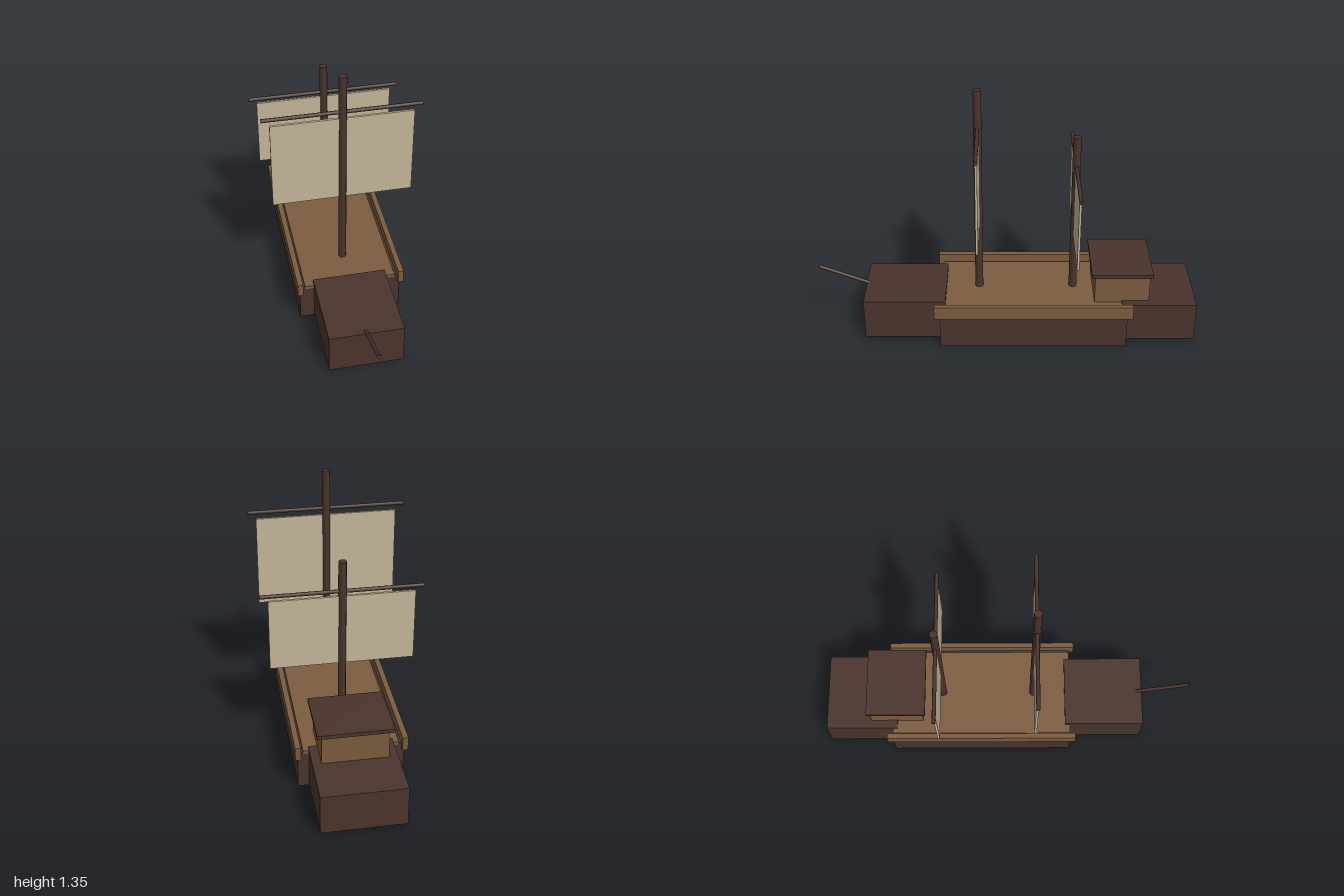
import * as THREE from 'three';

const darkWood = new THREE.MeshStandardMaterial({ name: 'darkWood', color: 0x4a342c });
const plankWood = new THREE.MeshStandardMaterial({ name: 'plankWood', color: 0x7c5c3f });
const canvas = new THREE.MeshStandardMaterial({ name: 'canvas', color: 0xc4b598 });

// Box given by its [min, max] range on each axis
function box(parent, name, material, [x0, x1], [y0, y1], [z0, z1]) {
  const mesh = new THREE.Mesh(new THREE.BoxGeometry(x1 - x0, y1 - y0, z1 - z0), material);
  mesh.name = name;
  mesh.position.set((x0 + x1) / 2, (y0 + y1) / 2, (z0 + z1) / 2);
  parent.add(mesh);
  return mesh;
}

// Round pole running between two points
function pole(parent, name, radius, from, to) {
  const a = new THREE.Vector3(...from), b = new THREE.Vector3(...to);
  const dir = b.clone().sub(a);
  const mesh = new THREE.Mesh(new THREE.CylinderGeometry(radius, radius, dir.length(), 8), darkWood);
  mesh.name = name;
  mesh.position.copy(a).add(b).multiplyScalar(0.5);
  mesh.quaternion.setFromUnitVectors(new THREE.Vector3(0, 1, 0), dir.normalize());
  parent.add(mesh);
  return mesh;
}

// Mast with its yard and square sail
function rig(name, z, mastTop, yardY, sailBottom, sailTop) {
  const group = new THREE.Group();
  group.name = name;
  pole(group, 'mast', 0.021, [0, 0.2, z], [0, mastTop, z]);
  pole(group, 'yard', 0.01, [-0.4, yardY, z], [0.4, yardY, z]);
  box(group, 'sail', canvas, [-0.36, 0.36], [sailBottom, sailTop], [z - 0.006, z + 0.006]);
  return group;
}

export function createModel() {
  const ship = new THREE.Group();
  ship.name = 'sailingShip';

  // Hull blocks and deck
  box(ship, 'hull', darkWood, [-0.265, 0.265], [0, 0.203], [-0.634, 0.344]);
  box(ship, 'bow', darkWood, [-0.191, 0.191], [0.008, 0.229], [0.317, 0.747]);
  box(ship, 'stern', darkWood, [-0.21, 0.21], [0.008, 0.22], [-1, -0.61]);
  box(ship, 'deck', plankWood, [-0.238, 0.238], [0.195, 0.213], [-0.635, 0.345]);

  // Side rails
  for (const s of [-1, 1]) {
    const rail = box(ship, s > 0 ? 'leftRail' : 'rightRail', plankWood,
      [-0.014, 0.014], [0.18, 0.252], [-0.662, 0.372]);
    rail.position.x = s * 0.266;
  }

  // Cabin
  box(ship, 'cabin', plankWood, [-0.165, 0.165], [0.205, 0.371], [-0.754, -0.467]);
  box(ship, 'cabinRoof', darkWood, [-0.187, 0.187], [0.371, 0.391], [-0.767, -0.448]);

  // Masts and sails
  ship.add(rig('mainRig', 0.142, 1.347, 1.142, 0.622, 1.107));
  ship.add(rig('aftRig', -0.36, 1.092, 0.932, 0.53, 0.907));

  // Bowsprit
  pole(ship, 'bowsprit', 0.01, [0, 0.195, 0.65], [0, 0.33, 0.996]);

  return ship;
}
